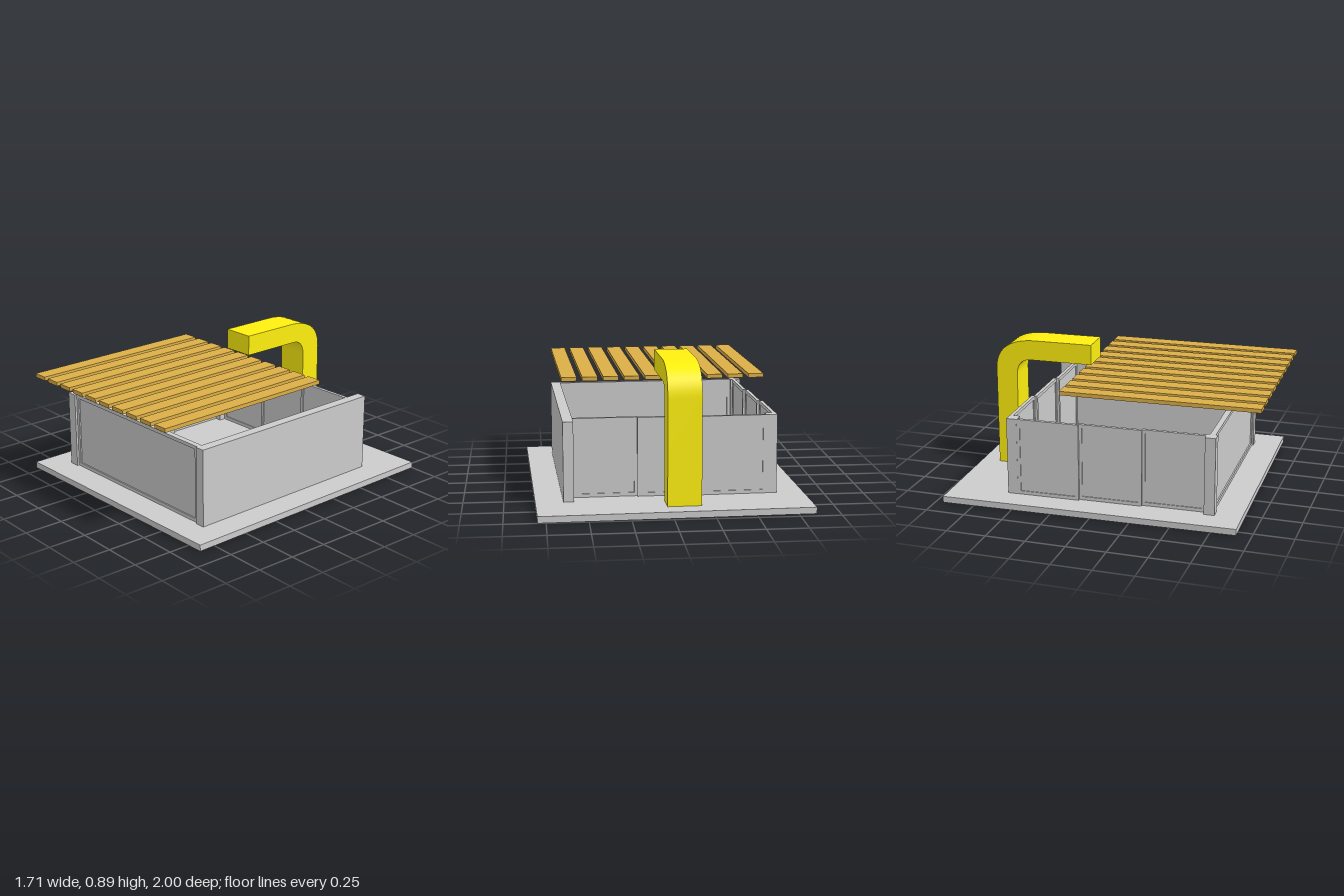
import * as THREE from 'three';
import { toCreasedNormals } from 'three/addons/utils/BufferGeometryUtils.js';

const grey = new THREE.MeshStandardMaterial({ color: 0xcccccc });
const wood = new THREE.MeshStandardMaterial({ color: 0xdcaf48 });
const yellow = new THREE.MeshStandardMaterial({ color: 0xfff00f });

const FLOOR = 0.04;
const TOP = 0.533;

// Box given by its limits on each axis
function box(name, [x0, x1], [y0, y1], [z0, z1], material = grey) {
  const mesh = new THREE.Mesh(new THREE.BoxGeometry(x1 - x0, y1 - y0, z1 - z0), material);
  mesh.position.set((x0 + x1) / 2, (y0 + y1) / 2, (z0 + z1) / 2);
  mesh.name = name;
  return mesh;
}

// Framed panel standing on the floor, centred on its own x and z
function framedPanel(name, width, thickness) {
  const group = new THREE.Group();
  group.name = name;
  const h = TOP - FLOOR, b = 0.022, w = width / 2;
  const frame = new THREE.Shape([[-w, 0], [w, 0], [w, h], [-w, h]].map(p => new THREE.Vector2(...p)));
  frame.holes.push(new THREE.Path(
    [[b - w, b], [b - w, h - b], [w - b, h - b], [w - b, b]].map(p => new THREE.Vector2(...p))));
  const geometry = new THREE.ExtrudeGeometry(frame, { depth: thickness, bevelEnabled: false });
  geometry.translate(0, FLOOR, -thickness / 2);
  const frameMesh = new THREE.Mesh(geometry, grey);
  frameMesh.name = 'panelFrame';
  const t = thickness / 4;
  group.add(frameMesh, box('panelPane', [b - w, w - b], [FLOOR + b, TOP - b], [-t, t]));
  return group;
}

// Square arch: a leg bending forward into an arm
function archedArm() {
  const s = new THREE.Shape();
  s.moveTo(0.855, FLOOR);
  s.lineTo(0.855, 0.69);
  s.bezierCurveTo(0.855, 0.83, 0.75, 0.89, 0.59, 0.89);
  s.lineTo(0.213, 0.89);
  s.lineTo(0.213, 0.76);
  s.lineTo(0.62, 0.76);
  s.bezierCurveTo(0.685, 0.76, 0.715, 0.72, 0.715, 0.65);
  s.lineTo(0.715, FLOOR);
  s.closePath();
  const flat = new THREE.ExtrudeGeometry(s, { depth: 0.207, bevelEnabled: false, curveSegments: 16 });
  const mesh = new THREE.Mesh(toCreasedNormals(flat, 0.5), yellow);
  mesh.rotation.y = Math.PI / 2;
  mesh.position.x = -0.156;
  mesh.name = 'archedArm';
  return mesh;
}

export function createModel() {
  const model = new THREE.Group();
  model.name = 'slattedEnclosure';
  model.rotation.y = 0.029;
  const wall = [FLOOR, TOP];

  // Base and solid side wall
  model.add(box('base', [-0.83, 0.83], [0, FLOOR], [-0.976, 0.884]));
  model.add(box('sideWall', [0.596, 0.66], wall, [-0.673, 0.712]));

  // Corner posts
  model.add(box('frontPost', [-0.665, -0.597], wall, [0.65, 0.716]));
  model.add(box('backPost', [-0.662, -0.594], wall, [-0.605, -0.54]));

  // Wide front panel
  const front = framedPanel('frontPanel', 1.193, 0.036);
  front.position.set(-0.0005, 0, 0.684);
  model.add(front);

  // Three overlapping panels on the back and on the open side
  for (let i = 0; i < 3; i++) {
    const back = framedPanel('backPanel', 0.4, 0.022);
    back.position.set(-0.396 + 0.397 * i, 0, -0.594 + 0.015 * i);
    const side = framedPanel('sidePanel', 0.4, 0.022);
    side.rotation.y = -Math.PI / 2;
    side.position.set(-0.65 + 0.015 * i, 0, -0.342 + 0.397 * i);
    model.add(back, side);
  }

  // Roof slats
  for (let i = 0; i < 10; i++) {
    const x = -0.639 + 0.1316 * i;
    model.add(box('roofSlat', [x, x + 0.097], [0.707, 0.732], [-0.267, 0.979], wood));
  }

  model.add(archedArm());

  const root = new THREE.Group();
  root.name = 'model';
  root.add(model);
  return root;
}
